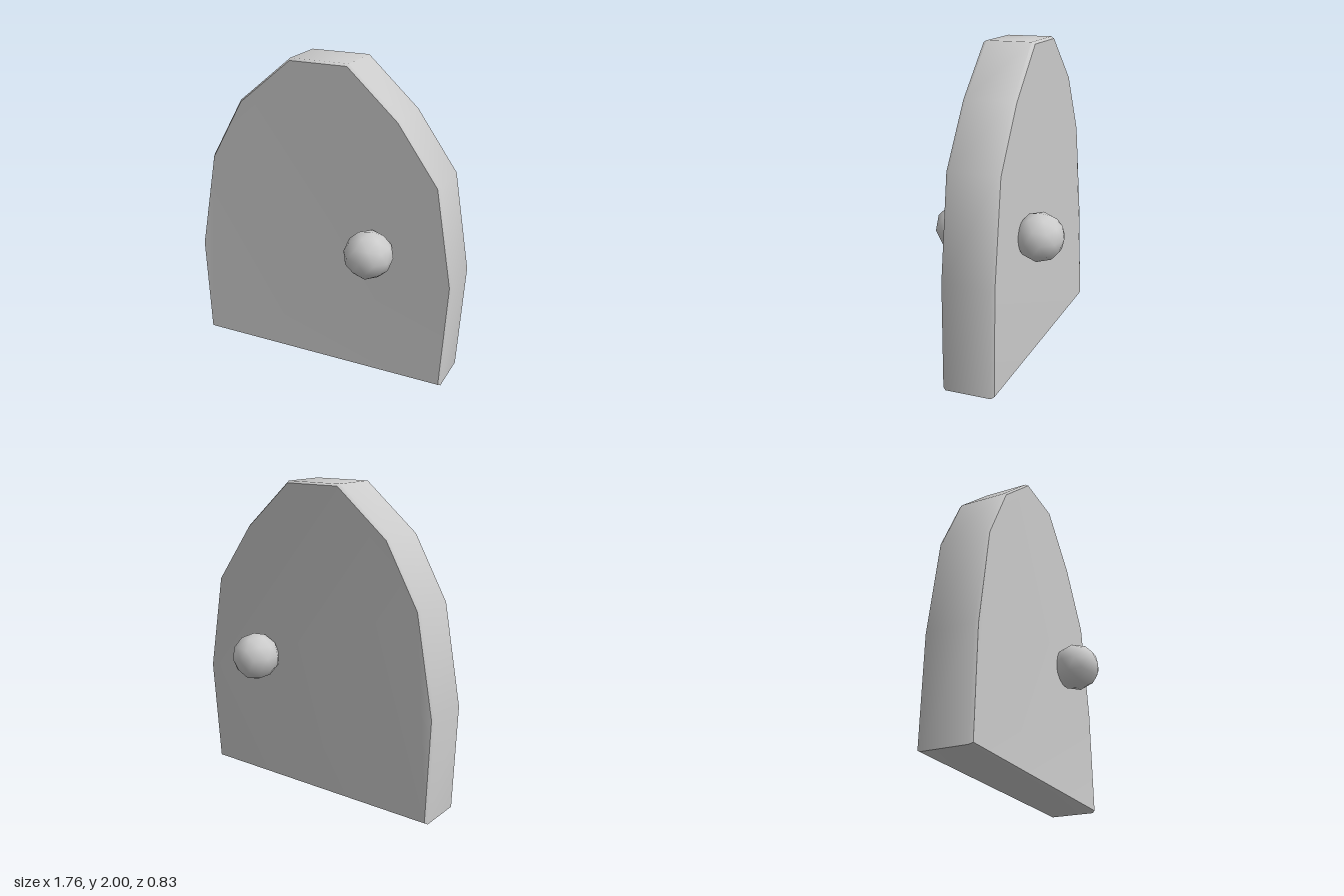
import * as THREE from 'three';
import { toCreasedNormals } from 'three/addons/utils/BufferGeometryUtils.js';

const OUTLINE = [
  [-0.87, 0], [0.845, 0.005], [0.877, 0.7], [0.77, 1.33], [0.51, 1.7],
  [0.185, 2], [-0.195, 2], [-0.545, 1.705], [-0.765, 1.31], [-0.882, 0.67],
];
const THICKNESS = 0.33;
const BEVEL = 0.02;

// Arched slab with a thin chamfer, slightly warped above its straight foot
function createPanel(material) {
  const shape = new THREE.Shape(OUTLINE.map(([x, y]) => new THREE.Vector2(x, y)));
  const geometry = new THREE.ExtrudeGeometry(shape, {
    depth: THICKNESS - 2 * BEVEL,
    bevelThickness: BEVEL,
    bevelSize: 0.012,
    bevelOffset: -0.012,
    bevelSegments: 1,
  });
  geometry.translate(0, 0, BEVEL - THICKNESS / 2);
  const p = geometry.attributes.position;
  for (let i = 0; i < p.count; i++) {
    const warp = Math.min(1, p.getY(i) / 0.7);
    p.setZ(i, p.getZ(i) + 0.012 - 0.027 * p.getX(i) * warp);
  }
  const panel = new THREE.Mesh(toCreasedNormals(geometry, 0.75), material);
  panel.name = 'doorPanel';
  return panel;
}

export function createModel() {
  const group = new THREE.Group();
  group.name = 'archedDoor';
  const material = new THREE.MeshStandardMaterial({ color: 0xcccccc });
  group.add(createPanel(material));

  // One faceted round knob on each face
  const knobGeometry = new THREE.IcosahedronGeometry(0.153, 1);
  knobGeometry.rotateZ(0.45);
  for (const [name, z] of [['frontKnob', 0.26], ['backKnob', -0.265]]) {
    const knob = new THREE.Mesh(knobGeometry, material);
    knob.name = name;
    knob.position.set(0.375, 0.87, z);
    group.add(knob);
  }
  return group;
}
